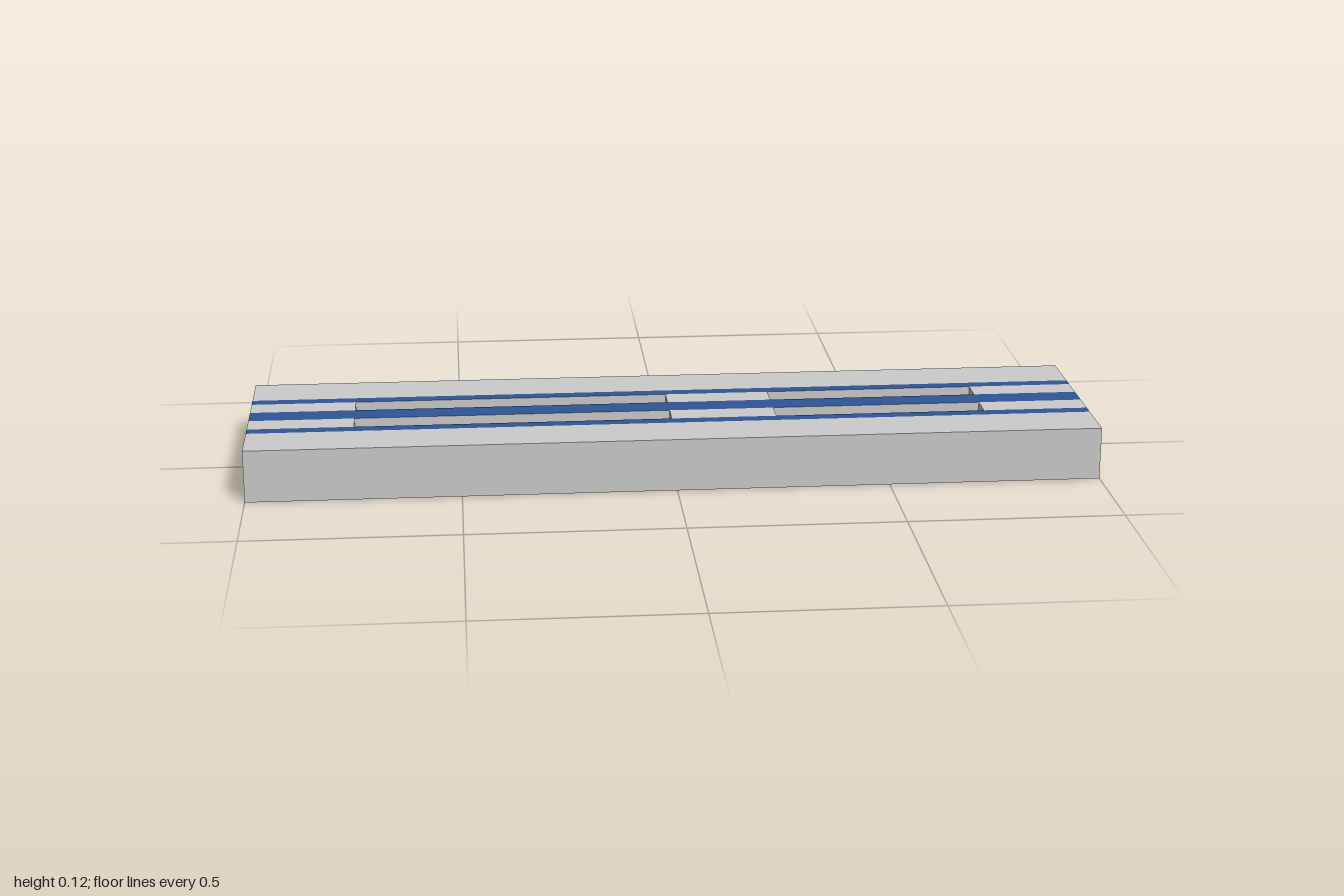
import * as THREE from 'three';

const LENGTH = 2, HEIGHT = 0.125, WIDTH = 0.5;
const POCKET_DEPTH = 0.0625;
const EDGE = 0.125, OUTER = 0.094, INNER = 0.031; // z of the stripe borders
const POCKETS = [[-0.75, 0], [0.25, 0.75]];       // x ranges of the pockets
const LANDS = [[-1, -0.75], [0, 0.25], [0.75, 1]]; // x ranges between the pockets

const grey = new THREE.MeshStandardMaterial({ color: 0xcccccc });
const blue = new THREE.MeshStandardMaterial({ color: 0x2f5597 });

export function createModel() {
  const group = new THREE.Group();

  const add = (name, geometry, material) => {
    const mesh = new THREE.Mesh(geometry, material);
    mesh.name = name;
    group.add(mesh);
  };

  // Horizontal face looking up
  const face = (name, x0, x1, z0, z1, y, material) => {
    const g = new THREE.PlaneGeometry(x1 - x0, z1 - z0).rotateX(-Math.PI / 2);
    add(name, g.translate((x0 + x1) / 2, y, (z0 + z1) / 2), material);
  };

  // Box sides without chosen faces (0..5 = +x -x +y -y +z -z)
  const openBox = (w, h, d, omit) => {
    const g = new THREE.BoxGeometry(w, h, d);
    g.setIndex(Array.from(g.index.array).filter((_, i) => !omit.includes(Math.floor(i / 6))));
    g.clearGroups();
    return g;
  };

  // Turn a geometry inside out
  const invert = (g) => {
    g.setIndex(Array.from(g.index.array).reverse());
    const n = g.attributes.normal;
    for (let i = 0; i < n.count; i++) n.setXYZ(i, -n.getX(i), -n.getY(i), -n.getZ(i));
    return g;
  };

  // Block sides and underside
  add('blockShell', openBox(LENGTH, HEIGHT, WIDTH, [2]).translate(0, HEIGHT / 2, 0), grey);

  // Central stripe
  face('centreStripe', -1, 1, -INNER, INNER, HEIGHT, blue);

  for (const [side, s] of [['front', 1], ['back', -1]]) {
    const strip = (name, x0, x1, a, b, y, material) =>
      face(side + name, x0, x1, Math.min(s * a, s * b), Math.max(s * a, s * b), y, material);

    // Outer margin and thin stripe
    strip('Margin', -1, 1, EDGE, WIDTH / 2, HEIGHT, grey);
    strip('Stripe', -1, 1, OUTER, EDGE, HEIGHT, blue);

    // Solid surface between the pockets
    for (const [x0, x1] of LANDS) strip('Land', x0, x1, INNER, OUTER, HEIGHT, grey);

    // Recessed pockets with blue floors
    for (const [x0, x1] of POCKETS) {
      const walls = invert(openBox(x1 - x0, POCKET_DEPTH, OUTER - INNER, [2, 3]));
      walls.translate((x0 + x1) / 2, HEIGHT - POCKET_DEPTH / 2, s * (INNER + OUTER) / 2);
      add(side + 'PocketWalls', walls, grey);
      strip('PocketFloor', x0, x1, INNER, OUTER, HEIGHT - POCKET_DEPTH, blue);
    }
  }
  return group;
}
